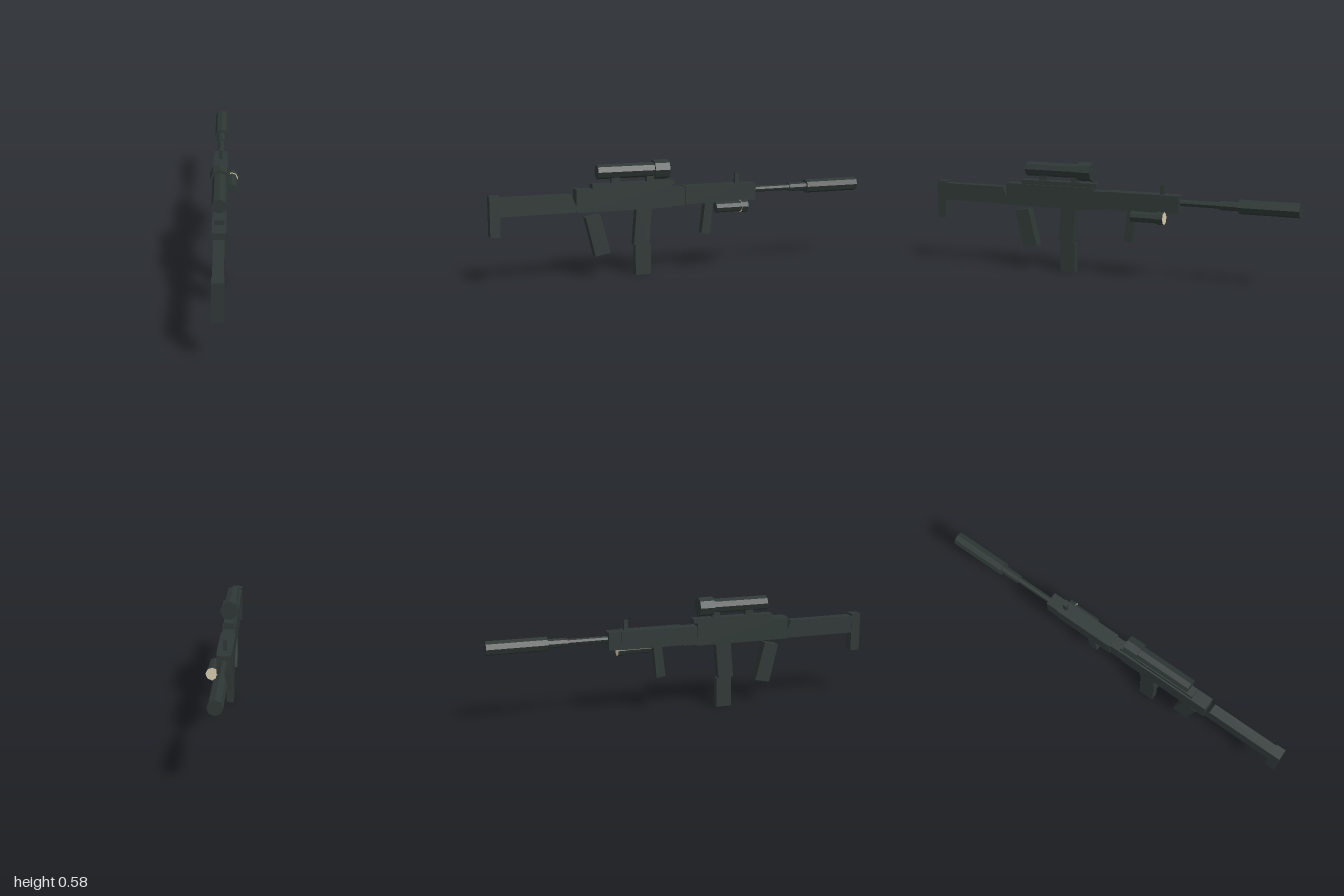
import * as THREE from 'three';

const CX = -0.022; // centre plane of the body

export function createModel() {
  const model = new THREE.Group();
  const dark = new THREE.MeshStandardMaterial({ color: 0x2e3735 });
  const cream = new THREE.MeshStandardMaterial({ color: 0xd9cdb0 });
  dark.name = 'darkGreenGrey';
  cream.name = 'cream';

  const add = (name, geometry, material = dark) => {
    const mesh = new THREE.Mesh(geometry, material);
    mesh.name = name;
    model.add(mesh);
    return mesh;
  };

  // Box given by its width and its y and z ranges
  const box = (name, w, y0, y1, z0, z1) =>
    add(name, new THREE.BoxGeometry(w, y1 - y0, z1 - z0))
      .position.set(CX, (y0 + y1) / 2, (z0 + z1) / 2);

  // Side profile of [z, y] points, extruded across x
  const slab = (name, w, points) => {
    const shape = new THREE.Shape(points.map(([z, y]) => new THREE.Vector2(-z, y)));
    const g = new THREE.ExtrudeGeometry(shape, { depth: w, bevelEnabled: false });
    g.translate(0, 0, -w / 2).rotateY(Math.PI / 2).translate(CX, 0, 0);
    add(name, g);
  };

  // Eight-sided tube along z with a corner at the top
  const tube = (name, r, x, y, z0, z1, material = dark) => {
    let g = new THREE.CylinderGeometry(r, r, z1 - z0, 8);
    g.rotateX(-Math.PI / 2);
    const groups = g.groups.map((k) => ({ ...k }));
    g = g.toNonIndexed();
    g.computeVertexNormals();
    g.clearGroups();
    groups.forEach((k) => g.addGroup(k.start, k.count, k.materialIndex));
    add(name, g, material).position.set(x, y, (z0 + z1) / 2);
  };

  // Stock
  box('buttPlate', 0.057, 0.244, 0.444, 0.95, 1);
  slab('stock', 0.052, [[0.95, 0.342], [0.95, 0.433], [0.595, 0.433], [0.572, 0.375], [0.572, 0.342]]);

  // Main body
  box('receiver', 0.067, 0.341, 0.456, 0.072, 0.572);
  box('bodyCollar', 0.062, 0.346, 0.441, 0, 0.072);
  box('handguard', 0.076, 0.352, 0.444, -0.33, 0);
  box('frontBlock', 0.069, 0.354, 0.443, -0.395, -0.33);
  box('frontSight', 0.018, 0.44, 0.495, -0.31, -0.288);

  // Barrel
  tube('barrel', 0.016, CX, 0.406, -0.6, -0.39);
  tube('barrelCollar', 0.023, CX, 0.406, -0.7, -0.6);
  tube('muzzleTube', 0.036, CX, 0.406, -1, -0.7);

  // Handles and magazine
  slab('rearGrip', 0.053, [[0.476, 0.112], [0.524, 0.31], [0.448, 0.325], [0.398, 0.128]]);
  slab('upperMagazine', 0.044, [[0.273, 0.158], [0.257, 0.345], [0.176, 0.345], [0.192, 0.15]]);
  box('lowerMagazine', 0.038, 0, 0.155, 0.182, 0.264);
  slab('foreGrip', 0.038, [[-0.096, 0.193], [-0.116, 0.358], [-0.16, 0.358], [-0.144, 0.187]]);

  // Scope on its rail
  box('scopeRail', 0.05, 0.456, 0.478, 0.055, 0.488);
  for (const [z0, z1] of [[0.342, 0.385], [0.16, 0.2]]) box('scopeMount', 0.029, 0.478, 0.51, z0, z1);
  tube('scopeTube', 0.037, CX, 0.536, 0.16, 0.458);
  tube('scopeHead', 0.049, CX, 0.536, 0.084, 0.162);

  // Side lamp with cream end faces
  tube('lampBody', 0.027, 0.037, 0.331, -0.3, -0.155);
  tube('lampHead', 0.033, 0.037, 0.331, -0.33, -0.295, [dark, cream, cream]);

  return model;
}
